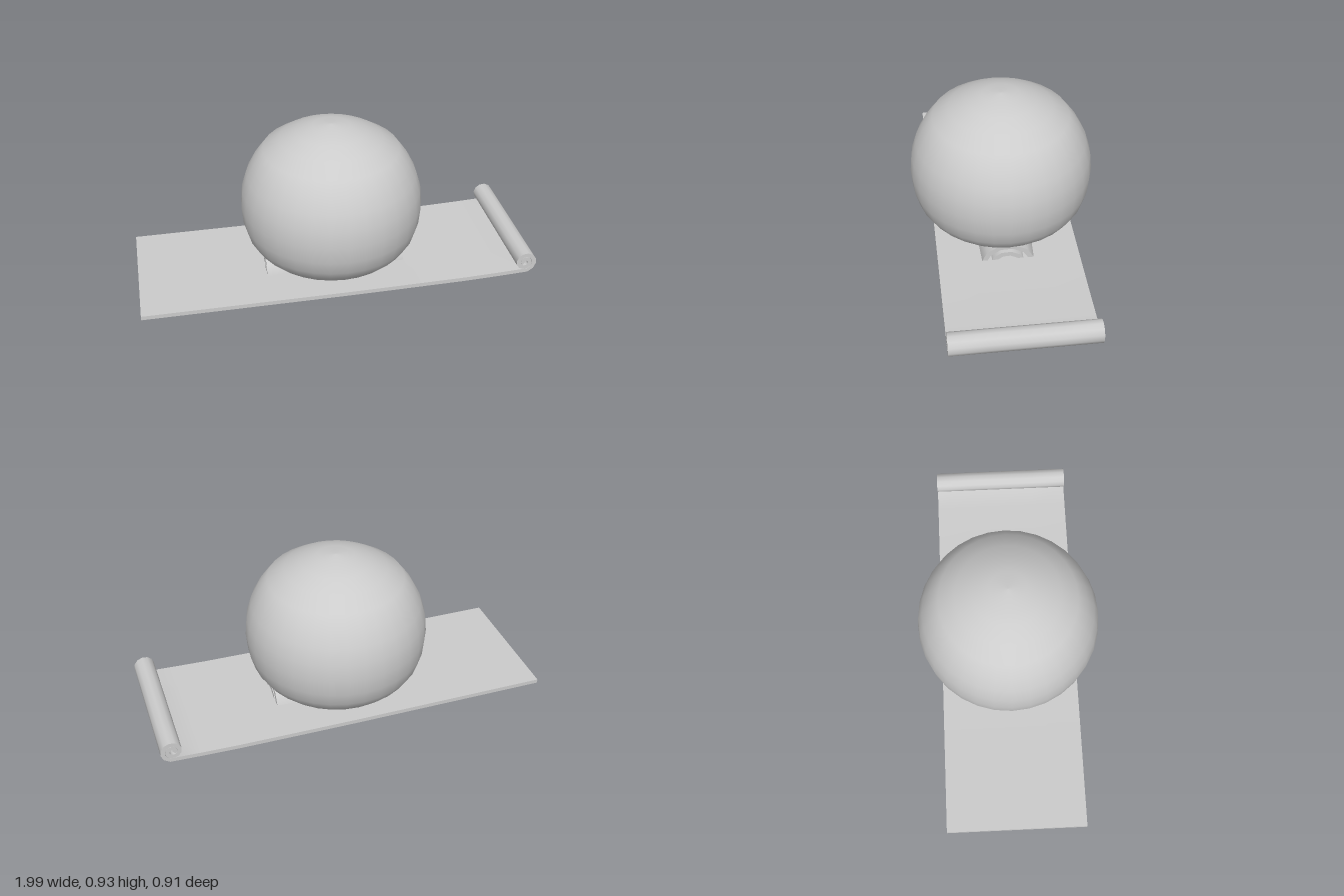
import * as THREE from 'three';
import { toCreasedNormals } from 'three/addons/utils/BufferGeometryUtils.js';

const material = new THREE.MeshStandardMaterial({ color: 0xcccccc });

// Centre line of an inward, counterclockwise spiral
function spiral(cx, cy, r0, r1, a0, turns, perTurn) {
  const n = Math.round(turns * perTurn), points = [];
  for (let i = 0; i <= n; i++) {
    const a = a0 + (i / perTurn) * Math.PI * 2;
    const r = r0 + (r1 - r0) * (i / n);
    points.push(new THREE.Vector2(cx + r * Math.cos(a), cy + r * Math.sin(a)));
  }
  return points;
}

// Thickens a centre line to a band and extrudes it, centred on z = 0
function ribbon(line, thickness, depth) {
  const left = [], right = [];
  line.forEach((p, i) => {
    const before = line[Math.max(i - 1, 0)], after = line[Math.min(i + 1, line.length - 1)];
    const t = after.clone().sub(before).normalize();
    const n = new THREE.Vector2(-t.y, t.x).multiplyScalar(thickness / 2);
    left.push(p.clone().add(n));
    right.push(p.clone().sub(n));
  });
  const shape = new THREE.Shape([...right, ...left.reverse()]);
  const geometry = new THREE.ExtrudeGeometry(shape, { depth, steps: 4, bevelEnabled: false });
  return geometry.translate(0, 0, -depth / 2);
}

function addMesh(group, name, geometry) {
  const mesh = new THREE.Mesh(geometry, material);
  mesh.name = name;
  group.add(mesh);
}

export function createModel() {
  const group = new THREE.Group();

  // Ball with a flattened underside
  const profile = [
    [0, 0.15], [0.09, 0.151], [0.17, 0.158], [0.27, 0.187], [0.355, 0.236], [0.395, 0.275],
    [0.428, 0.327], [0.449, 0.4], [0.457, 0.487], [0.449, 0.575], [0.425, 0.655],
    [0.387, 0.727], [0.338, 0.792], [0.256, 0.845], [0.175, 0.885], [0.093, 0.911], [0, 0.92],
  ].map(([r, y]) => new THREE.Vector2(r, y));
  addMesh(group, 'ball', new THREE.LatheGeometry(profile, 32));

  // Long sheet that rises gently and curls up at one end
  const sheetLine = [[-1, 0.145], [-0.5, 0.146], [0, 0.147], [0.3, 0.15], [0.62, 0.154], [0.8, 0.16]]
    .map(([x, y]) => new THREE.Vector2(x, y));
  sheetLine.push(...spiral(0.937, 0.217, 0.052, 0.01, -1.3, 1.8, 12));
  addMesh(group, 'sheet', toCreasedNormals(ribbon(sheetLine, 0.021, 0.71), 0.7));

  // Rolled sheet through the middle, bulging slightly between its ends
  const roll = ribbon(spiral(-0.015, 0.112, 0.15, 0.012, -0.28, 2.85, 12), 0.027, 0.71);
  const pos = roll.attributes.position;
  for (let i = 0; i < pos.count; i++) {
    const s = 1 - 0.05 * (pos.getZ(i) / 0.355) ** 2;
    pos.setXY(i, -0.015 + (pos.getX(i) + 0.015) * s, 0.112 + (pos.getY(i) - 0.112) * s);
  }
  roll.rotateY(Math.PI / 2);
  addMesh(group, 'roll', toCreasedNormals(roll, 0.7));

  return group;
}
